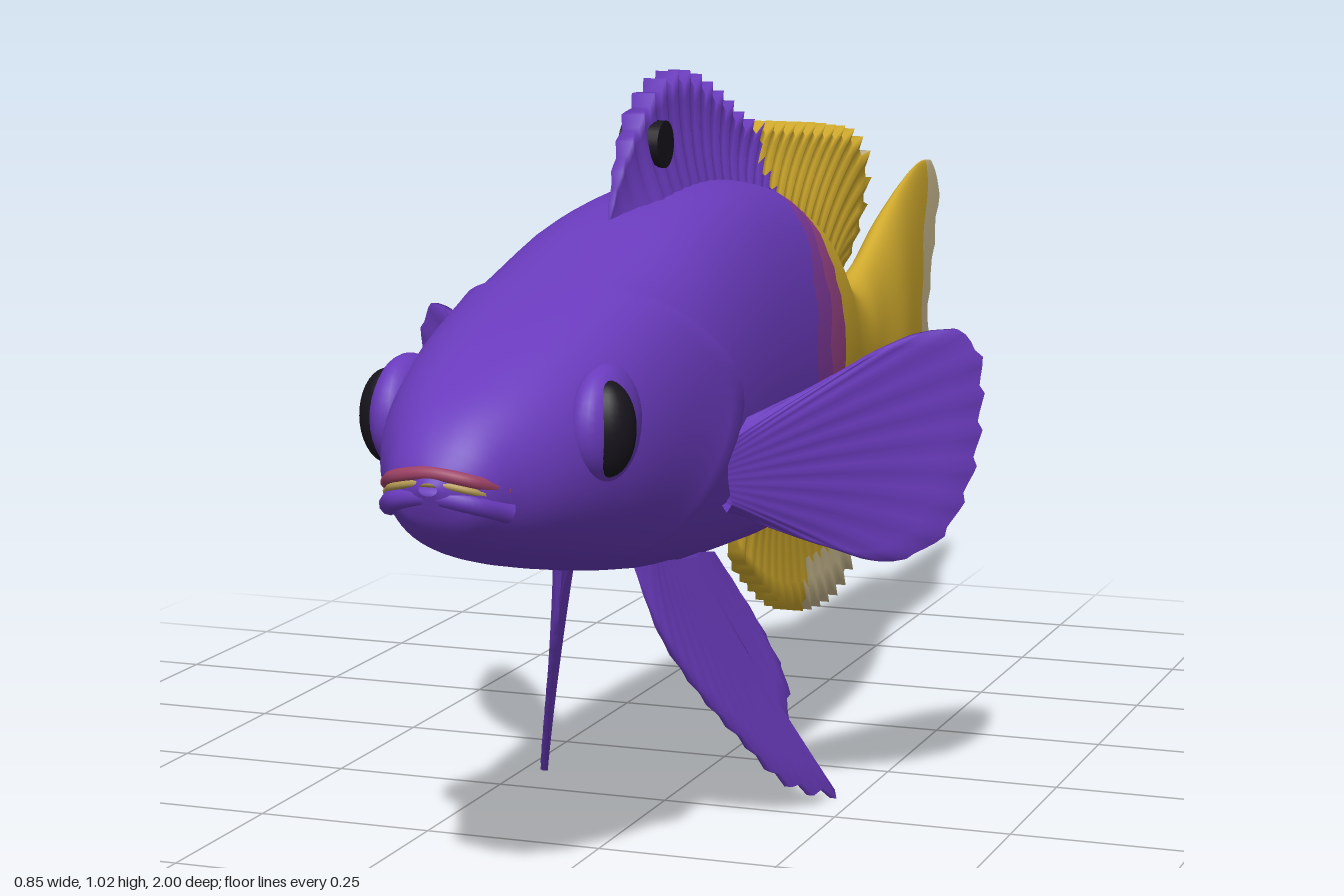
import * as THREE from 'three';
import { mergeVertices } from 'three/addons/utils/BufferGeometryUtils.js';

const mat = (name, color) => new THREE.MeshStandardMaterial({ name, color, side: THREE.DoubleSide });

// Smooth (Hermite) lookup in a table of rows [key, value, value...]
function sample(table, x) {
  const n = table.length, dir = Math.sign(table[1][0] - table[0][0]);
  let i = 0;
  while (i < n - 2 && (x - table[i + 1][0]) * dir > 0) i++;
  const a = table[i], b = table[i + 1], h = b[0] - a[0];
  const f = THREE.MathUtils.clamp((x - a[0]) / h, 0, 1);
  const slope = (k, c) => {
    const p = table[Math.max(k - 1, 0)], q = table[Math.min(k + 1, n - 1)];
    return (q[c] - p[c]) / (q[0] - p[0]);
  };
  return a.slice(1).map((_, j) => {
    const c = j + 1, f2 = f * f, f3 = f2 * f;
    return (2 * f3 - 3 * f2 + 1) * a[c] + (f3 - 2 * f2 + f) * h * slope(i, c)
      + (3 * f2 - 2 * f3) * b[c] + (f3 - f2) * h * slope(i + 1, c);
  });
}

// Smooth grid surface; pick(i, j, point) gives the material index of a cell
function surface(name, nu, nv, point, mats, pick) {
  const pos = [], cells = mats.map(() => []);
  for (let i = 0; i <= nu; i++) for (let j = 0; j <= nv; j++) pos.push(...point(i, j));
  for (let i = 0; i < nu; i++) for (let j = 0; j < nv; j++) {
    const a = i * (nv + 1) + j, b = a + nv + 1;
    cells[pick(i, j, pos.slice(a * 3, a * 3 + 3))].push(a, b, a + 1, b, b + 1, a + 1);
  }
  let geo = new THREE.BufferGeometry();
  geo.setAttribute('position', new THREE.Float32BufferAttribute(pos, 3));
  geo.setIndex(cells.flat());
  let start = 0;
  cells.forEach((c, k) => { geo.addGroup(start, c.length, k); start += c.length; });
  geo = mergeVertices(geo, 1e-5);
  geo.computeVertexNormals();
  const mesh = new THREE.Mesh(geo, mats);
  mesh.name = name;
  return mesh;
}

// The spine drifts slightly sideways from head to tail
const centreX = z => 0.005 - 0.02 * z;

// z, top, bottom, half width, section squareness
const PROFILE = [
  [1.0, 0.588, 0.572, 0.012, 1], [0.98, 0.625, 0.53, 0.055, 0.9], [0.94, 0.665, 0.5, 0.085, 0.85],
  [0.88, 0.7, 0.475, 0.12, 0.8], [0.8, 0.735, 0.45, 0.148, 0.75], [0.7, 0.768, 0.425, 0.168, 0.7],
  [0.55, 0.81, 0.395, 0.178, 0.7], [0.4, 0.85, 0.372, 0.182, 0.7], [0.2, 0.87, 0.355, 0.175, 0.7],
  [0, 0.85, 0.345, 0.163, 0.72], [-0.1, 0.82, 0.36, 0.148, 0.75], [-0.2, 0.785, 0.38, 0.127, 0.8],
  [-0.35, 0.7, 0.405, 0.09, 0.9], [-0.5, 0.64, 0.42, 0.06, 1], [-0.6, 0.67, 0.36, 0.045, 1],
  [-0.7, 0.725, 0.32, 0.045, 1], [-0.8, 0.77, 0.285, 0.03, 1], [-0.9, 0.797, 0.265, 0.016, 1],
  [-1.0, 0.79, 0.265, 0.006, 1],
];
// Edges across the body: height from -1 (belly) to 1 (back), then z
const GILL = [[-1, 0.68], [-0.7, 0.58], [-0.2, 0.48], [0.1, 0.46], [0.5, 0.53], [1, 0.64]];
const BAND = [[-1, 0.11], [-0.3, 0.1], [0.2, 0.09], [0.6, 0.05], [1, -0.02]];
const REAR = [[-1, -0.01], [-0.5, -0.03], [-0.1, -0.07], [0.2, -0.08], [0.6, -0.075], [1, -0.1]];
const PALE = [[-1, -0.87], [-0.6, -0.85], [0, -0.845], [0.5, -0.87], [0.85, -0.92], [1, -0.935]];
const END = [[-1, -0.91], [-0.85, -0.96], [-0.5, -0.95], [0, -0.9], [0.3, -0.93], [0.6, -0.97], [0.88, -0.995], [1, -0.95]];

function makeBody(mats) {
  const gill = t => sample(GILL, t)[0];
  const band = t => sample(BAND, t)[0] + 0.007 * Math.sin(t * 17);
  const rear = t => sample(REAR, t)[0] + 0.009 * Math.sin(t * 31);
  const stations = [
    () => 1, gill, t => gill(t) - 0.012, band, t => band(t) * 0.55 + rear(t) * 0.45 + 0.008 * Math.sin(t * 13),
    rear, t => sample(PALE, t)[0] + 0.006 * Math.sin(t * 14), t => sample(END, t)[0] + 0.009 * Math.sin(t * 23),
  ];
  const counts = [26, 1, 14, 3, 3, 34, 5], colours = [0, 0, 0, 1, 2, 3, 4];
  const rows = counts.flatMap((n, k) => Array.from({ length: n }, (_, i) => [k, i / n]));
  rows.push([6, 1]);
  const nv = 64;
  return surface('body', rows.length - 1, nv, (i, j) => {
    const angle = (j % nv) / nv * Math.PI * 2 - Math.PI / 2;
    const c = Math.cos(angle), t = Math.sin(angle), [k, f] = rows[i];
    // rows crowd toward the snout
    const g = k === 0 ? f * f * 0.5 + f * 0.5 : f;
    const z = THREE.MathUtils.lerp(stations[k](t), stations[k + 1](t), g);
    const [top, bottom, w, p] = sample(PROFILE, z);
    // raised gill cover
    const flare = k === 0 || i === counts[0] ? 0.014 * Math.exp((gill(t) - z) / 0.07) : 0;
    const x = Math.sign(c) * Math.pow(Math.abs(c), p) * (w + flare);
    return [centreX(z) + x, (top + bottom) / 2 + (top - bottom) / 2 * t, z];
  }, mats, i => colours[rows[i][0]]);
}

// Two-sided fin between a base curve and an edge curve, points as [along, up]
function makeFin(name, o) {
  const curve = pts => new THREE.CatmullRomCurve3(pts.map(([a, b]) => new THREE.Vector3(a, b, 0)), false, 'centripetal');
  const base = curve(o.base), edge = curve(o.edge), nv = 15, half = 7, nu = o.teeth * 4;
  const level = j => Math.min(j, nv - j) / half;
  return surface(name, nu, nv, (i, j) => {
    const u = i / nu, s = level(j), side = j <= half ? 1 : -1;
    const tooth = (i % 4) / 4 * o.jag * Math.sin(Math.PI * u);
    const q = base.getPointAt(u).lerp(edge.getPointAt(u), s * (1 - tooth));
    const end = Math.min(1, 8 * u, 8 * (1 - u));
    const ray = 1 + 0.25 * Math.cos(i * Math.PI / 2) * s;
    return o.place(q.x, q.y, side * end * ray * (o.tip + o.root * (1 - s) ** 2));
  }, o.mats, (i, j, p) => (o.pick ? o.pick(p, level(j)) : 0));
}

export function createModel() {
  const purple = mat('purple skin', 0x6a3bbd), violet = mat('violet band', 0x803a9c);
  const magenta = mat('magenta band', 0x984386), yellow = mat('yellow skin', 0xcfa92d);
  const pale = mat('pale fin edge', 0xcdbd92), black = mat('black', 0x17141c);
  const red = mat('red lip', 0x9c4064), gold = mat('gold lip', 0xb59a55);
  const fish = new THREE.Group();
  fish.name = 'fish';
  const add = (name, geo, material, x, y, z) => {
    const m = new THREE.Mesh(geo, material);
    m.name = name;
    m.position.set(x, y, z);
    fish.add(m);
    return m;
  };

  fish.add(makeBody([purple, violet, magenta, yellow, pale]));

  // Fins on the midline
  const upright = (z, y, t) => [centreX(z) + t, y, z];
  fish.add(makeFin('dorsalFin', {
    base: [[0.45, 0.82], [0.2, 0.845], [0, 0.82], [-0.2, 0.75], [-0.45, 0.64]],
    edge: [[0.45, 0.82], [0.42, 0.89], [0.36, 0.97], [0.28, 1.015], [0.18, 1.02], [0.05, 0.98], [-0.06, 0.935],
      [-0.2, 0.92], [-0.4, 0.9], [-0.54, 0.875], [-0.6, 0.83], [-0.57, 0.74], [-0.52, 0.68], [-0.45, 0.64]],
    teeth: 32, jag: 0.22, tip: 0.013, root: 0.03, place: upright, mats: [purple, yellow, pale],
    pick: ([, y, z], s) => (z > -0.075 + 0.012 * Math.sin(y * 90) ? 0 : z < -0.54 && s > 0.9 ? 2 : 1),
  }));
  fish.add(makeFin('analFin', {
    base: [[0, 0.37], [-0.15, 0.41], [-0.3, 0.43], [-0.47, 0.44]],
    edge: [[0, 0.37], [-0.03, 0.3], [-0.12, 0.23], [-0.22, 0.18], [-0.36, 0.155], [-0.48, 0.165],
      [-0.54, 0.21], [-0.53, 0.3], [-0.49, 0.38], [-0.47, 0.44]],
    teeth: 22, jag: 0.1, tip: 0.014, root: 0.022, place: (z, y, t) => upright(z, y, -t), mats: [yellow, pale],
    pick: ([, , z], s) => (s > 0.85 && z < -0.3 ? 1 : 0),
  }));
  const spot = add('finSpot', new THREE.CylinderGeometry(0.032, 0.032, 0.056, 20), black, centreX(0.31), 0.93, 0.31);
  spot.rotation.z = Math.PI / 2;

  for (const s of [1, -1]) {
    const side = s > 0 ? 'left' : 'right';
    // Pectoral fins sweep out and back
    fish.add(makeFin(side + 'PectoralFin', {
      base: [[0.16, 0.575], [0.155, 0.52], [0.16, 0.46]],
      edge: [[0.16, 0.575], [0.24, 0.615], [0.33, 0.668], [0.385, 0.677], [0.412, 0.65], [0.418, 0.56], [0.405, 0.46],
        [0.37, 0.385], [0.315, 0.362], [0.25, 0.395], [0.16, 0.46]],
      teeth: 16, jag: 0.03, tip: 0.004, root: 0.014, mats: [purple],
      place: (x, y, t) => [s * (x + t * 0.75), y, 0.44 - (x - 0.16) * 1.22 - 0.03 * Math.sin((x - 0.16) * 12) + t * 0.65],
    }));
    // Pelvic fins hang down and back
    fish.add(makeFin(side + 'PelvicFin', {
      base: [[0.5, 0.4], [0.42, 0.39], [0.34, 0.385]],
      edge: [[0.5, 0.4], [0.46, 0.29], [0.4, 0.2], [0.33, 0.12], [0.25, 0.04], [0.155, 0.005], [0.2, 0.06],
        [0.235, 0.11], [0.23, 0.18], [0.26, 0.25], [0.3, 0.32], [0.34, 0.385]],
      teeth: 20, jag: 0.06, tip: 0.004, root: 0.012, mats: [purple],
      place: (z, y, t) => [s * (0.05 + (0.39 - y) * 0.13 + (0.5 - z) * 0.35 + t), y, z],
    }));
    // Eyes in raised sockets
    const ball = new THREE.SphereGeometry(1, 28, 18), cx = centreX(0.79);
    add(side + 'EyeSocket', ball, purple, cx + s * 0.132, 0.63, 0.775).scale.set(0.038, 0.075, 0.08);
    add(side + 'Eye', ball, black, cx + s * 0.146, 0.63, 0.803).scale.set(0.036, 0.06, 0.036);
  }

  // Mouth: arched lips wrapped round the snout
  const lip = (name, material, r, drop, reach) => {
    const pts = [[-0.078, 0.574, 0.94], [-0.048, 0.59, 0.98], [0, 0.598, 0.99], [0.048, 0.59, 0.98], [0.078, 0.574, 0.94]];
    const path = new THREE.CatmullRomCurve3(pts.map(([x, y, z]) => new THREE.Vector3(x, y - drop, z + reach)));
    add(name, new THREE.TubeGeometry(path, 32, r, 10), material, -0.017, 0, 0);
  };
  lip('upperLip', red, 0.009, 0, 0);
  lip('lipLine', gold, 0.005, 0.011, 0.003);
  lip('lowerLip', purple, 0.014, 0.028, -0.006);
  return fish;
}
